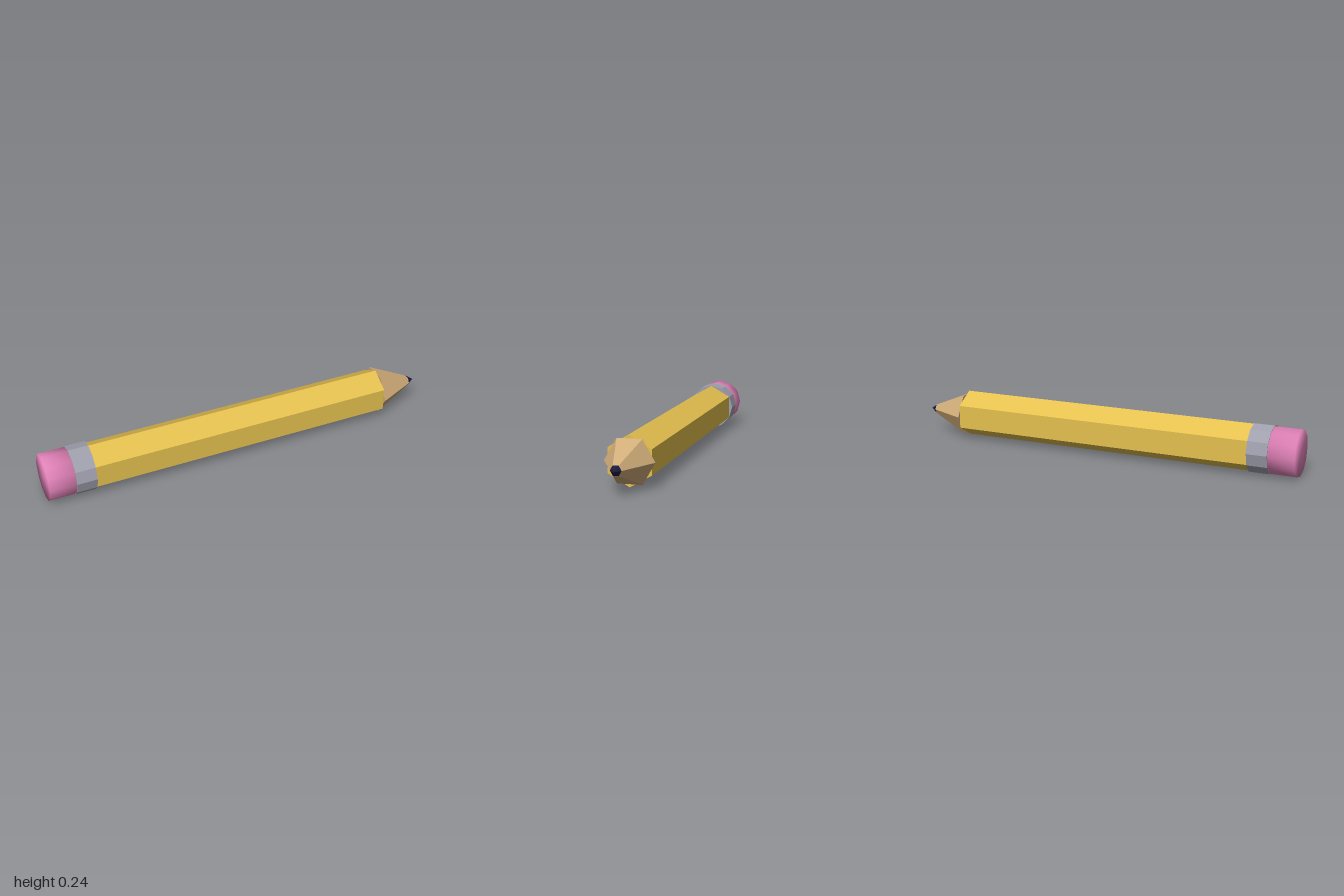
import * as THREE from 'three';
import { mergeVertices } from 'three/addons/utils/BufferGeometryUtils.js';

const AXIS_Y = 0.119;

function material(name, color, flatShading) {
  const m = new THREE.MeshStandardMaterial({ color, flatShading });
  m.name = name;
  return m;
}

// Prism or cone lying along x, from x0 (radius r0) to x1 (radius r1)
function segment(x0, x1, r0, r1, sides, turn = 0) {
  const g = new THREE.CylinderGeometry(r1, r0, x1 - x0, sides, 1, false, turn);
  g.rotateZ(-Math.PI / 2);
  g.translate((x0 + x1) / 2, AXIS_Y, 0);
  return g;
}

// Share vertices between side and cap so shading rolls over the rim
function smooth(geometry) {
  geometry.deleteAttribute('normal');
  geometry.deleteAttribute('uv');
  const g = mergeVertices(geometry, 1e-4);
  g.computeVertexNormals();
  return g;
}

export function createModel() {
  const yellow = material('yellow paint', 0xe4c04e, true);
  const wood = material('bare wood', 0xd2ae7a, true);
  const graphite = material('graphite', 0x1c1c40, true);
  const metal = material('grey metal', 0xa0a0ae, true);
  const pink = material('pink rubber', 0xe182b8, false);

  const model = new THREE.Group();
  model.name = 'pencil';
  const add = (name, geometry, mat) => {
    const mesh = new THREE.Mesh(geometry, mat);
    mesh.name = name;
    model.add(mesh);
  };

  // Six-sided shaft with a ridge on top
  add('shaft', segment(-0.8, 0.77, 0.116, 0.116, 6, Math.PI / 6), yellow);
  // Sharpened end, turned so its ridges sit between those of the shaft
  add('sharpenedWood', segment(0.77, 0.965, 0.117, 0.026, 6), wood);
  add('leadTip', segment(0.965, 1, 0.026, 0, 6), graphite);
  // Metal band and eraser
  add('ferrule', segment(-0.87, -0.77, 0.118, 0.118, 12), metal);
  add('eraser', smooth(segment(-1, -0.87, 0.115, 0.115, 12)), pink);

  return model;
}
